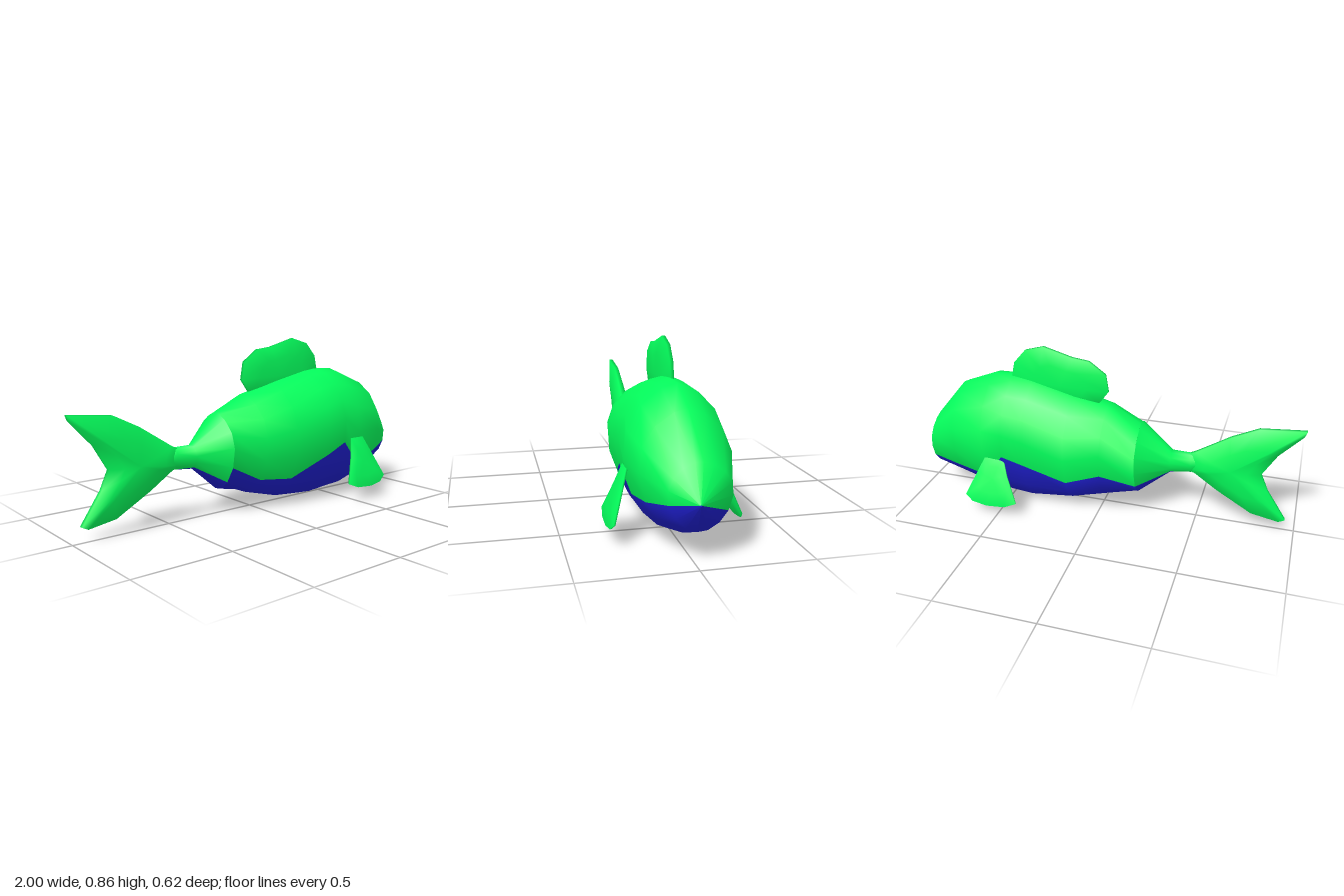
import * as THREE from 'three';

const green = new THREE.MeshStandardMaterial({ color: 0x04ff5c, side: THREE.DoubleSide });
const blue = new THREE.MeshStandardMaterial({ color: 0x2020d4, side: THREE.DoubleSide });

// Body stations: x, top y, bottom y, +z reach, -z reach, colour edge y on +z side, on -z side
const STATIONS = [
  [-0.52, 0.34, 0.29, 0.01, -0.02, 0.29, 0.29],
  [-0.46, 0.37, 0.26, 0.03, -0.035, 0.26, 0.26],
  [-0.36, 0.37, 0.25, 0.045, -0.055, 0.26, 0.26],
  [-0.201, 0.51, 0.12, 0.135, -0.172, 0.17, 0.2],
  [-0.2, 0.51, 0.12, 0.135, -0.172, 0.25, 0.2],
  [-0.03, 0.59, 0.075, 0.185, -0.215, 0.165, 0.27],
  [0.15, 0.635, 0.025, 0.215, -0.235, 0.15, 0.2],
  [0.37, 0.685, 0, 0.225, -0.25, 0.255, 0.29],
  [0.48, 0.69, 0.008, 0.228, -0.247, 0.31, 0.32],
  [0.59, 0.685, 0.02, 0.228, -0.24, 0.2, 0.155],
  [0.77, 0.61, 0.073, 0.2, -0.207, 0.22, 0.18],
  [0.92, 0.425, 0.13, 0.113, -0.162, 0.25, 0.213],
  [1.0, 0.272, 0.266, 0.003, -0.003, 0.27, 0.27],
];
const BACK_STEPS = 10, BELLY_STEPS = 6, RING = BACK_STEPS + BELLY_STEPS;

// One cross-section, slightly pointed at top and bottom;
// the colour edges always fall on vertices 0 and BACK_STEPS
function ring([x, top, bottom, zFront, zBack, edgeFront, edgeBack]) {
  const cy = bottom + 0.57 * (top - bottom);
  const cz = (zFront + zBack) / 2, w = (zFront - zBack) / 2;
  const angleAt = (y) => Math.asin(THREE.MathUtils.clamp((y - cy) / (cy - bottom), -0.98, 0));
  const a0 = angleAt(edgeFront), a1 = Math.PI - angleAt(edgeBack);
  const points = [];
  for (let j = 0; j < RING; j++) {
    const a = j <= BACK_STEPS
      ? THREE.MathUtils.lerp(a0, a1, j / BACK_STEPS)
      : THREE.MathUtils.lerp(a1, a0 + 2 * Math.PI, (j - BACK_STEPS) / BELLY_STEPS);
    const s = Math.sin(a), c = Math.cos(a);
    const reach = Math.sign(c) * Math.abs(c) ** (s > 0 ? 1.3 : 1.12);
    points.push(x, cy + s * (s > 0 ? top - cy : cy - bottom), cz + w * reach);
  }
  return points;
}

function makeBody() {
  const body = new THREE.Group();
  body.name = 'body';
  const positions = STATIONS.flatMap(ring);
  const upper = [], lower = [];
  for (let i = 0; i < STATIONS.length - 1; i++) {
    for (let j = 0; j < RING; j++) {
      const a = i * RING + j, b = i * RING + (j + 1) % RING;
      (j < BACK_STEPS ? upper : lower).push(a, a + RING, b, b, a + RING, b + RING);
    }
  }
  // Smooth normals are shared across the colour edge
  const whole = new THREE.BufferGeometry();
  whole.setAttribute('position', new THREE.Float32BufferAttribute(positions, 3));
  whole.setIndex([...upper, ...lower]);
  whole.computeVertexNormals();
  for (const [name, index, material] of [['back', upper, green], ['belly', lower, blue]]) {
    const part = whole.clone();
    part.setIndex(index);
    const mesh = new THREE.Mesh(part, material);
    mesh.name = name;
    body.add(mesh);
  }
  return body;
}

// Thin cushion from a counter-clockwise outline: slim rim, thicker core, bent by offset(x, y)
function makeFin(name, outline, [cx, cy], rim, core, offset) {
  const n = outline.length, positions = [], index = [];
  for (const side of [1, -1]) {
    for (const [scale, t] of [[1, rim], [0.55, core]]) {
      for (const [px, py] of outline) {
        const x = cx + (px - cx) * scale, y = cy + (py - cy) * scale;
        positions.push(x, y, offset(x, y) + side * t);
      }
    }
    positions.push(cx, cy, offset(cx, cy) + side * core);
  }
  const back = 2 * n + 1;
  for (let j = 0; j < n; j++) {
    const k = (j + 1) % n;
    index.push(j, k, n + j, k, n + k, n + j, n + j, n + k, 2 * n);
    index.push(back + k, back + j, back + n + j, back + n + k, back + k, back + n + j);
    index.push(back + n + k, back + n + j, back + 2 * n);
    index.push(j, back + j, k, k, back + j, back + k);
  }
  const geometry = new THREE.BufferGeometry();
  geometry.setAttribute('position', new THREE.Float32BufferAttribute(positions, 3));
  geometry.setIndex(index);
  geometry.computeVertexNormals();
  const mesh = new THREE.Mesh(geometry, green);
  mesh.name = name;
  return mesh;
}

export function createModel() {
  const fish = new THREE.Group();
  fish.name = 'fish';
  fish.add(makeBody());

  // Forked tail
  fish.add(makeFin('tailFin', [
    [-0.42, 0.28], [-0.42, 0.35], [-0.48, 0.38], [-0.65, 0.49], [-0.78, 0.555], [-1, 0.578],
    [-0.99, 0.55], [-0.88, 0.43], [-0.81, 0.31], [-0.85, 0.22], [-0.95, 0.07],
    [-0.92, 0.055], [-0.78, 0.078], [-0.6, 0.18], [-0.48, 0.26],
  ], [-0.66, 0.31], 0.01, 0.036, (x) => 0.01 + 0.025 * x));

  // Rounded fin on the back
  fish.add(makeFin('dorsalFin', [
    [0.02, 0.59], [0.2, 0.56], [0.46, 0.62], [0.49, 0.67], [0.47, 0.76], [0.41, 0.83],
    [0.31, 0.86], [0.16, 0.82], [0.07, 0.81], [-0.015, 0.75], [-0.03, 0.66],
  ], [0.22, 0.67], 0.008, 0.024, (x) => -0.03 + 0.02 * x));

  // Side fins sloping outward and down
  for (const [name, side, shift, drop] of [
    ['leftSideFin', 1, 0, 0], ['rightSideFin', -1, -0.05, 0.012],
  ]) {
    const outline = [
      [0.53, 0.325], [0.5, 0.23], [0.44, 0.1], [0.5, 0.075], [0.6, 0.068],
      [0.68, 0.08], [0.72, 0.11], [0.66, 0.24], [0.62, 0.325],
    ].map(([x, y]) => [x + shift, y - drop]);
    fish.add(makeFin(name, outline, [0.575 + shift, 0.2], 0.004, 0.011,
      (x, y) => side * (0.217 + (0.32 - y) * 0.345)));
  }
  return fish;
}
